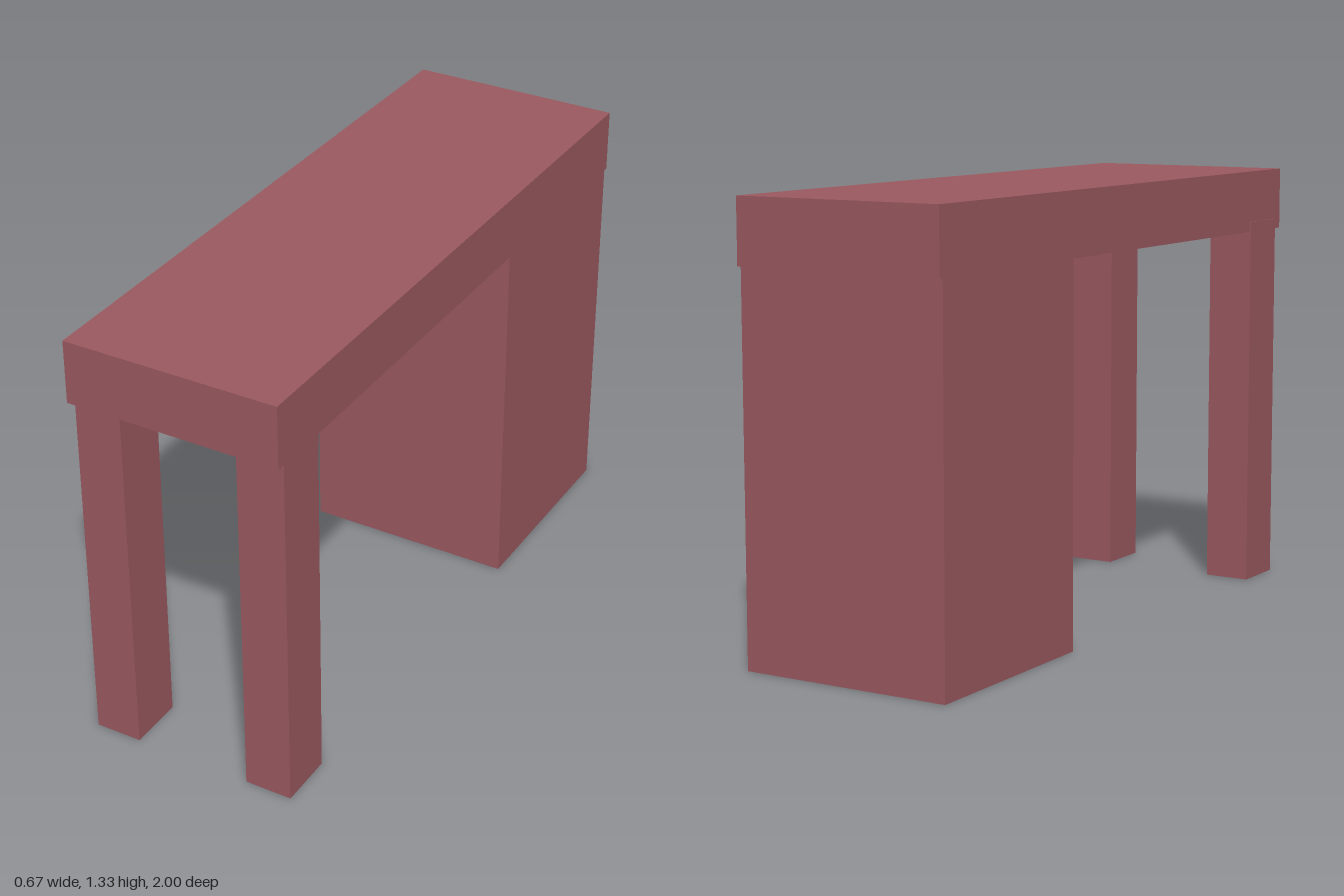
import * as THREE from 'three';

export function createModel() {
  const group = new THREE.Group();
  group.name = 'desk';
  const wood = new THREE.MeshStandardMaterial({ color: 0x9c5a61 });
  wood.name = 'reddish wood';

  // Box given by its lower and upper corners
  function addBox(name, [x0, y0, z0], [x1, y1, z1]) {
    const mesh = new THREE.Mesh(new THREE.BoxGeometry(x1 - x0, y1 - y0, z1 - z0), wood);
    mesh.name = name;
    mesh.position.set((x0 + x1) / 2, (y0 + y1) / 2, (z0 + z1) / 2);
    group.add(mesh);
  }

  // Thick slab top
  addBox('deskTop', [-0.331, 1.14, -1], [0.333, 1.333, 1]);

  // Solid pedestal under the rear end
  addBox('pedestal', [-0.331, 0, -0.985], [0.333, 1.14, -0.32]);

  // Two front legs, let slightly into the top
  addBox('rightLeg', [-0.335, 0, 0.785], [-0.19, 1.172, 0.96]);
  addBox('leftLeg', [0.178, 0, 0.785], [0.325, 1.172, 0.96]);

  return group;
}
